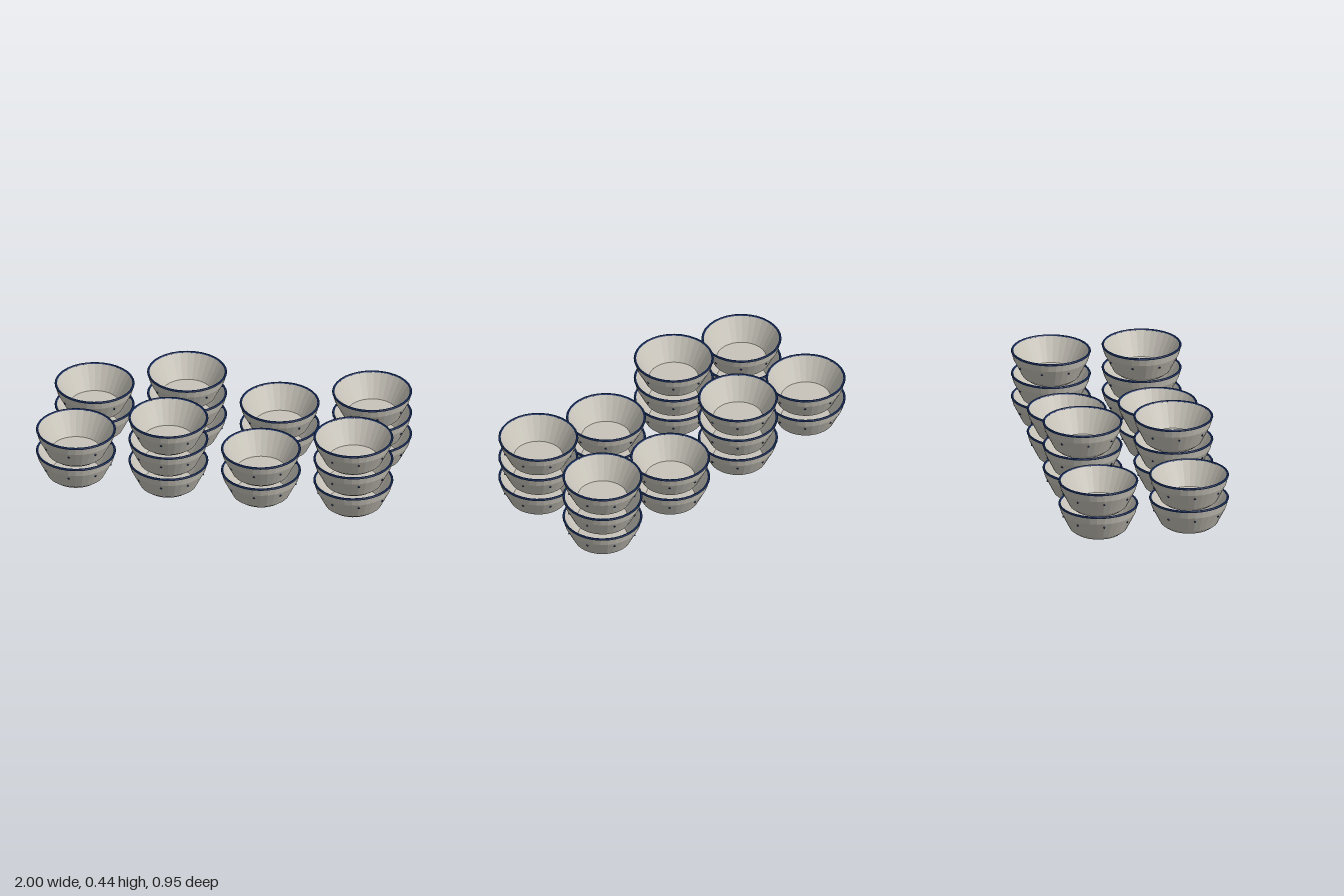
import * as THREE from 'three';

const SEGMENTS = 32;
const STEP = 0.135; // height between stacked bowls

// Faceted copy of a geometry
function faceted(geometry) {
  const g = geometry.index ? geometry.toNonIndexed() : geometry;
  g.computeVertexNormals();
  return g;
}

export function createModel() {
  const stoneware = new THREE.MeshStandardMaterial({ color: 0xc8c4ba });
  stoneware.name = 'stoneware grey';
  const glaze = new THREE.MeshStandardMaterial({ color: 0x1f3a75 });
  glaze.name = 'navy glaze';

  // Bowl section: base, foot chamfer, wall, upper band, lip, inner wall, floor
  const profile = [
    [0, 0], [0.128, 0], [0.157, 0.022], [0.207, 0.121], [0.219, 0.165],
    [0.208, 0.165], [0.136, 0.036], [0, 0.036],
  ].map(([r, y]) => new THREE.Vector2(r, y));
  const bodyGeometry = faceted(new THREE.LatheGeometry(profile, SEGMENTS));

  const rimGeometry = faceted(
    new THREE.TorusGeometry(0.214, 0.0065, 6, SEGMENTS).rotateX(Math.PI / 2));
  const dotGeometry = faceted(new THREE.SphereGeometry(0.006, 6, 4));

  function makeBowl() {
    const bowl = new THREE.Group();
    bowl.name = 'bowl';
    const body = new THREE.Mesh(bodyGeometry, stoneware);
    body.name = 'bowlBody';
    const rim = new THREE.Mesh(rimGeometry, glaze);
    rim.name = 'glazedRim';
    rim.position.y = 0.1645;
    bowl.add(body, rim);
    // Ring of eight dots around the wall
    for (let i = 0; i < 8; i++) {
      const a = (i / 8) * Math.PI * 2;
      const dot = new THREE.Mesh(dotGeometry, glaze);
      dot.name = 'glazeDot';
      dot.position.set(0.195 * Math.sin(a), 0.097, 0.195 * Math.cos(a));
      bowl.add(dot);
    }
    return bowl;
  }

  // Two rows of four stacks, alternating two and three bowls high
  const model = new THREE.Group();
  model.name = 'bowlStacks';
  const columns = [
    { x: -0.779, count: 2, turn: 0 },
    { x: -0.26, count: 3, turn: 0 },
    { x: 0.26, count: 2, turn: 0 },
    { x: 0.779, count: 3, turn: 0.36 },
  ];
  for (const z of [0.253, -0.253]) {
    for (const { x, count, turn } of columns) {
      const stack = new THREE.Group();
      stack.name = 'stack';
      stack.position.set(x, 0, z);
      stack.rotation.y = turn;
      for (let i = 0; i < count; i++) {
        const bowl = makeBowl();
        bowl.position.y = i * STEP;
        stack.add(bowl);
      }
      model.add(stack);
    }
  }
  return model;
}
